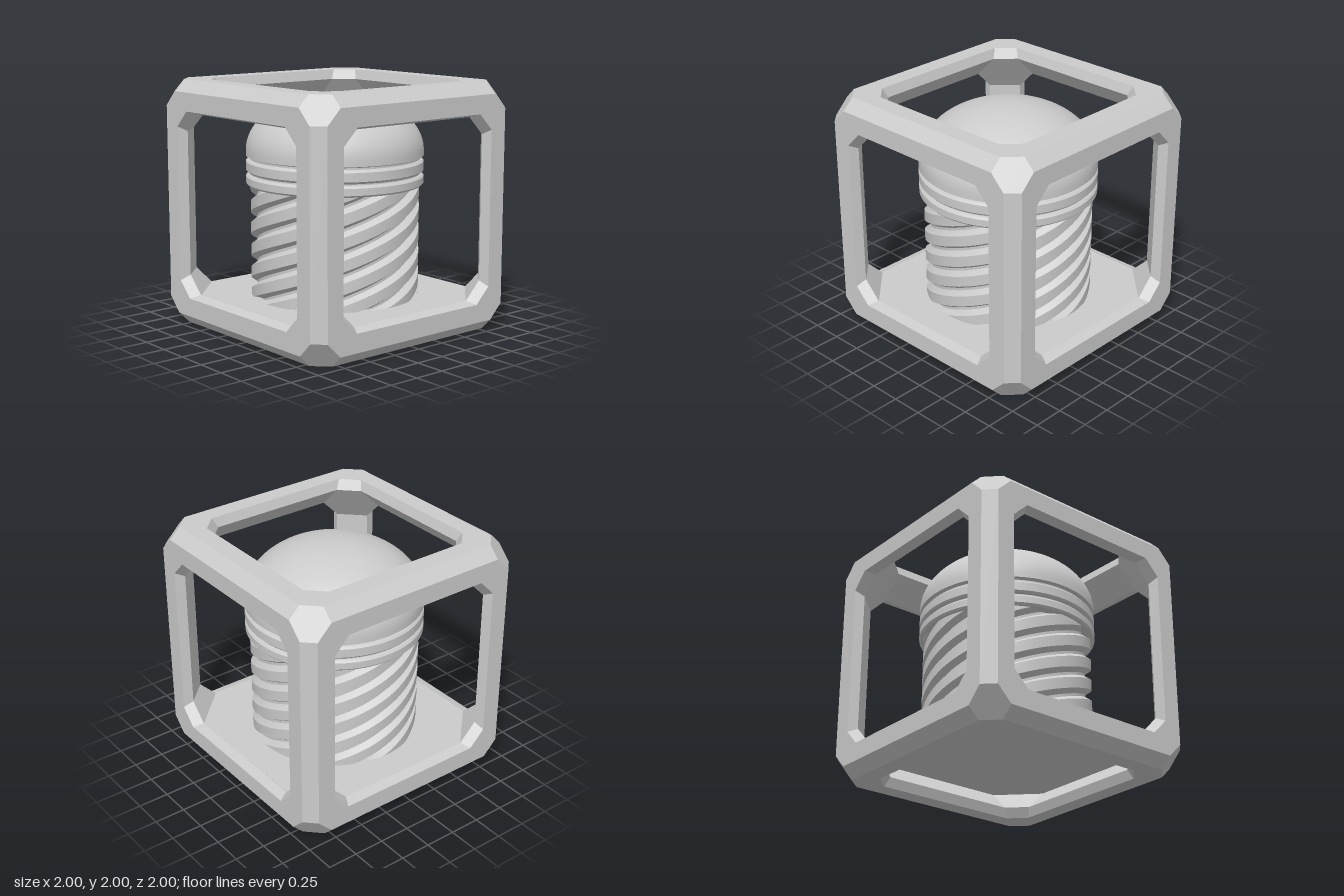
import * as THREE from 'three';
import { toCreasedNormals } from 'three/addons/utils/BufferGeometryUtils.js';

const grey = new THREE.MeshStandardMaterial({ color: 0xcccccc });
const flat = new THREE.MeshStandardMaterial({ color: 0xcccccc, flatShading: true });
const double = new THREE.MeshStandardMaterial({ color: 0xcccccc, side: THREE.DoubleSide });

function part(name, geometry, material) {
  const mesh = new THREE.Mesh(geometry, material);
  mesh.name = name;
  return mesh;
}

function fromPositions(positions) {
  const g = new THREE.BufferGeometry();
  g.setAttribute('position', new THREE.Float32BufferAttribute(positions, 3));
  g.computeVertexNormals();
  return g;
}

// Octagon corners with long half-extent a and short half-extent b
const octagon = (a, b) => [[a, b], [b, a], [-b, a], [-a, b], [-a, -b], [-b, -a], [b, -a], [a, -b]];

// Vector with w on the given axis and u, v on the next two
function place(axis, w, u, v) {
  const p = new THREE.Vector3();
  p.setComponent(axis, w);
  p.setComponent((axis + 1) % 3, u);
  p.setComponent((axis + 2) % 3, v);
  return p;
}

// Hollow cube frame: chamfered outside, octagonal windows, bevelled inside
function frameGeometry() {
  const outer = [1, 0.91, 0.79], inner = [0.92, 0.735, 0.59];
  const out = [], origin = new THREE.Vector3();

  // Convex polygon turned away from (sign 1) or towards (sign -1) a point
  function poly(pts, ref, sign) {
    const n = pts[1].clone().sub(pts[0]).cross(pts[2].clone().sub(pts[0]));
    const mid = pts.reduce((s, p) => s.add(p), new THREE.Vector3()).divideScalar(pts.length);
    const order = n.dot(mid.sub(ref)) * sign < 0 ? [...pts].reverse() : pts;
    for (let i = 1; i < order.length - 1; i++)
      for (const p of [order[0], order[i], order[i + 1]]) out.push(p.x, p.y, p.z);
  }

  for (let axis = 0; axis < 3; axis++) {
    for (const s of [-1, 1]) {
      // Flat face border and window reveal
      const ring = (w, a, b) => octagon(a, b).map(([u, v]) => place(axis, s * w, u, v));
      const rim = ring(1, outer[1], outer[2]);
      const opening = ring(1, 0.76, 0.63);
      const back = ring(inner[0], inner[1], inner[2]);
      const centre = place(axis, s * 0.96, 0, 0);
      for (let i = 0; i < 8; i++) {
        const j = (i + 1) % 8;
        poly([rim[i], rim[j], opening[j], opening[i]], origin, 1);
        poly([opening[i], opening[j], back[j], back[i]], centre, -1);
      }
      // Bars along this axis: outer chamfer and inner bevel
      for (const t of [-1, 1]) {
        for (const [[a, b, c], sign] of [[outer, 1], [inner, -1]]) {
          poly([place(axis, c, s * a, t * b), place(axis, c, s * b, t * a),
            place(axis, -c, s * b, t * a), place(axis, -c, s * a, t * b)], origin, sign);
        }
      }
    }
  }
  // Hexagonal corner facets, outside and inside
  for (const x of [-1, 1]) for (const y of [-1, 1]) for (const z of [-1, 1]) {
    for (const [[a, b, c], sign] of [[outer, 1], [inner, -1]]) {
      const hex = [[a, b, c], [b, a, c], [c, a, b], [c, b, a], [b, c, a], [a, c, b]];
      poly(hex.map(p => new THREE.Vector3(p[0] * x, p[1] * y, p[2] * z)), origin, sign);
    }
  }
  return fromPositions(out);
}

// One helical rib, trimmed between the floor and the collar
function ribGeometry(start) {
  const low = 0.26, high = 1.19, lead = 1.44, stepAngle = Math.PI / 40;
  const section = [[-0.03, 0.62], [0.01, 0.68], [0.1, 0.68], [0.14, 0.62]];
  const out = [];
  const point = (i, k) => {
    const angle = start + i * stepAngle, [dy, r] = section[k];
    const y = low + dy + lead * i * stepAngle / (2 * Math.PI);
    return [r * Math.sin(angle), THREE.MathUtils.clamp(y, low, high), r * Math.cos(angle)];
  };
  for (let i = -9; i < 56; i++) {
    for (let k = 0; k < section.length - 1; k++) {
      const a = point(i, k), b = point(i + 1, k), c = point(i + 1, k + 1), d = point(i, k + 1);
      const ys = [a[1], b[1], c[1], d[1]];
      if (Math.max(...ys) <= low || Math.min(...ys) >= high) continue;
      out.push(...a, ...b, ...c, ...a, ...c, ...d);
    }
  }
  return toCreasedNormals(fromPositions(out), 0.4);
}

// Domed cap with two grooved rings under it
function capGeometry() {
  const profile = [[0.6, 1.165], [0.7, 1.165], [0.715, 1.18], [0.715, 1.235], [0.7, 1.25],
    [0.685, 1.255], [0.685, 1.265], [0.7, 1.27], [0.715, 1.285], [0.715, 1.355], [0.7, 1.37],
    [0.685, 1.375], [0.685, 1.39], [0.715, 1.4]];
  for (let i = 0; i <= 24; i++) {
    const a = i / 24 * Math.PI / 2;
    profile.push([i === 24 ? 0 : 0.715 * Math.cos(a), 1.44 + 0.46 * Math.sin(a)]);
  }
  const lathe = new THREE.LatheGeometry(profile.map(p => new THREE.Vector2(...p)), 96);
  return toCreasedNormals(lathe, 0.4);
}

export function createModel() {
  const model = new THREE.Group();
  model.name = 'cagedCanister';

  const frame = part('cubeFrame', frameGeometry(), flat);
  frame.position.y = 1;
  model.add(frame);

  // Floor plate fitted to the inside of the frame
  const outline = new THREE.Shape(octagon(0.92, 0.59).map(p => new THREE.Vector2(...p)));
  const floor = new THREE.ExtrudeGeometry(outline, { depth: 0.03, bevelEnabled: false });
  floor.rotateX(-Math.PI / 2).translate(0, 0.232, 0);
  model.add(part('floorPlate', floor, flat));

  // Canister body: core, eight twisted ribs and the cap
  const core = new THREE.CylinderGeometry(0.63, 0.63, 0.93, 80, 1, true);
  core.translate(0, 0.725, 0);
  model.add(part('core', core, grey));

  const ribs = new THREE.Group();
  ribs.name = 'twistedRibs';
  for (let i = 0; i < 8; i++)
    ribs.add(part('rib', ribGeometry((i + 0.5) * Math.PI / 4), double));
  model.add(ribs);

  model.add(part('domedCap', capGeometry(), grey));
  return model;
}
